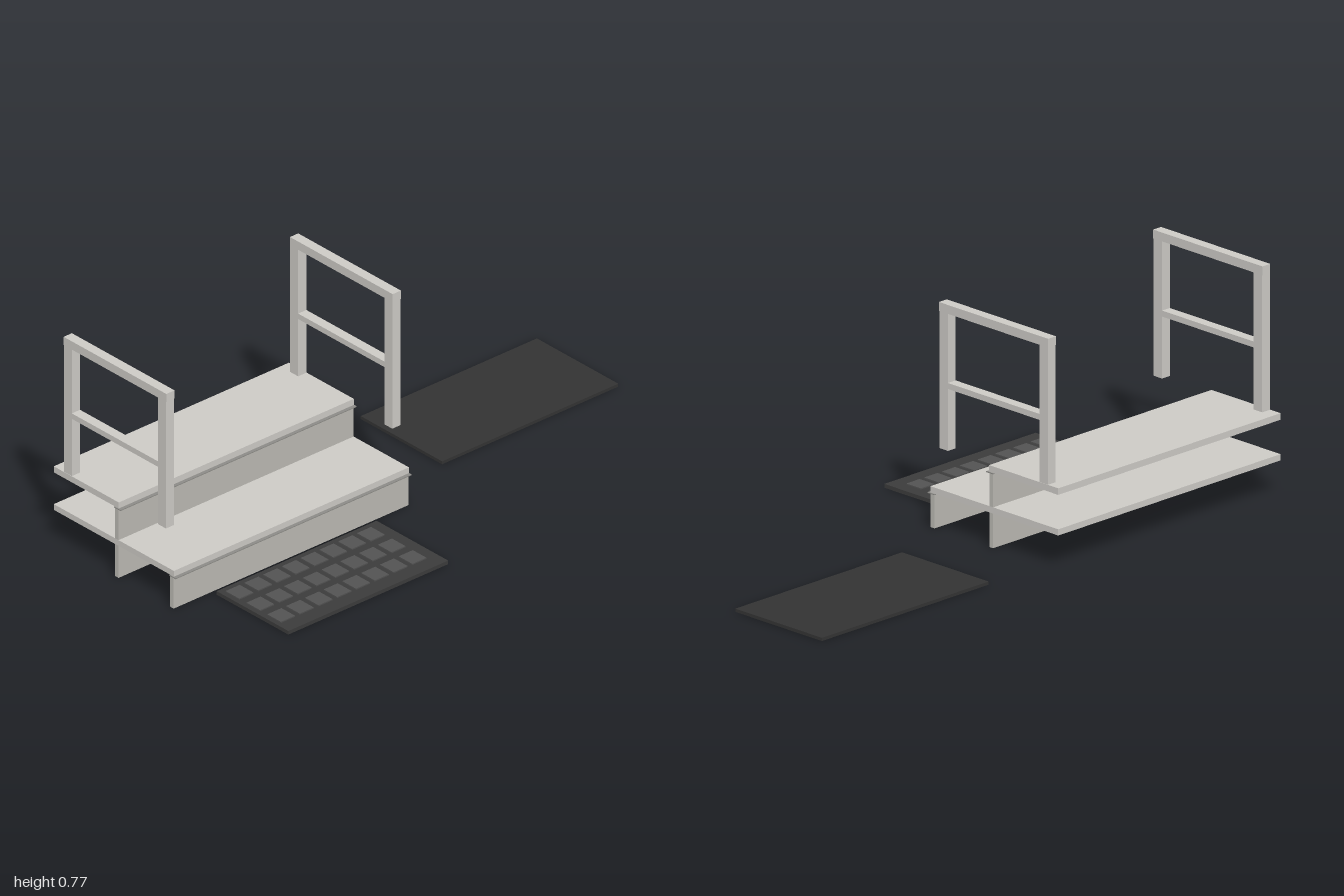
import * as THREE from 'three';

const mat = (color) => new THREE.MeshStandardMaterial({ color });

// Box given by its min/max extents on each axis
function slab(parent, name, material, [x0, x1], [y0, y1], [z0, z1]) {
  const mesh = new THREE.Mesh(new THREE.BoxGeometry(x1 - x0, y1 - y0, z1 - z0), material);
  mesh.position.set((x0 + x1) / 2, (y0 + y1) / 2, (z0 + z1) / 2);
  mesh.name = name;
  parent.add(mesh);
}

function group(parent, name) {
  const g = new THREE.Group();
  g.name = name;
  parent.add(g);
  return g;
}

export function createModel() {
  const model = new THREE.Group();
  model.name = 'stepsWithMats';
  const light = mat(0xcccac5);
  const riserGrey = mat(0xbab8b2);
  const stripGrey = mat(0x8c8b87);
  const dark = mat(0x333333);
  const base = mat(0x3b3b3b);
  const padGrey = mat(0x525252);

  // Two steps: tread, riser and a thin nosing strip under the front edge
  const steps = group(model, 'steps');
  const stepData = [
    { name: 'lower', front: 0.105, bottom: 0.117, top: 0.138 },
    { name: 'upper', front: -0.158, bottom: 0.254, top: 0.276 },
  ];
  for (const { name, front, bottom, top } of stepData) {
    slab(steps, name + 'Tread', light, [-0.998, 0], [bottom, top], [-0.468, front]);
    slab(steps, name + 'Riser', riserGrey, [-0.998, 0], [0, bottom], [front - 0.018, front - 0.001]);
    slab(steps, name + 'Nosing', stripGrey, [-1, 0.002], [bottom - 0.004, bottom - 0.001], [front - 0.02, front + 0.011]);
  }

  // Handrails: two posts, a top rail and a middle rail on each side
  for (const [side, x0] of [['right', -0.997], ['left', -0.036]]) {
    const rail = group(model, side + 'Handrail');
    const x = [x0, x0 + 0.035];
    slab(rail, 'frontPost', light, x, [0.276, 0.738], [0.028, 0.066]);
    slab(rail, 'rearPost', light, x, [0.276, 0.738], [-0.421, -0.383]);
    slab(rail, 'topRail', light, x, [0.738, 0.768], [-0.422, 0.068]);
    slab(rail, 'middleRail', light, x, [0.485, 0.505], [-0.383, 0.028]);
  }

  // Studded mat in front of the steps
  const studded = group(model, 'studdedMat');
  slab(studded, 'matBase', base, [-0.837, -0.158], [0, 0.013], [0.128, 0.47]);
  for (let row = 0; row < 3; row++) {
    for (let col = 0; col < 8; col++) {
      const x = -0.79 + col * 0.0797;
      const z = 0.184 + row * 0.0995;
      slab(studded, 'matStud', padGrey, [x - 0.03, x + 0.03], [0.013, 0.017], [z - 0.0325, z + 0.0325]);
    }
  }

  // Plain flat mat beside the steps
  slab(model, 'plainMat', dark, [0.252, 1], [0, 0.011], [-0.408, -0.02]);

  return model;
}
